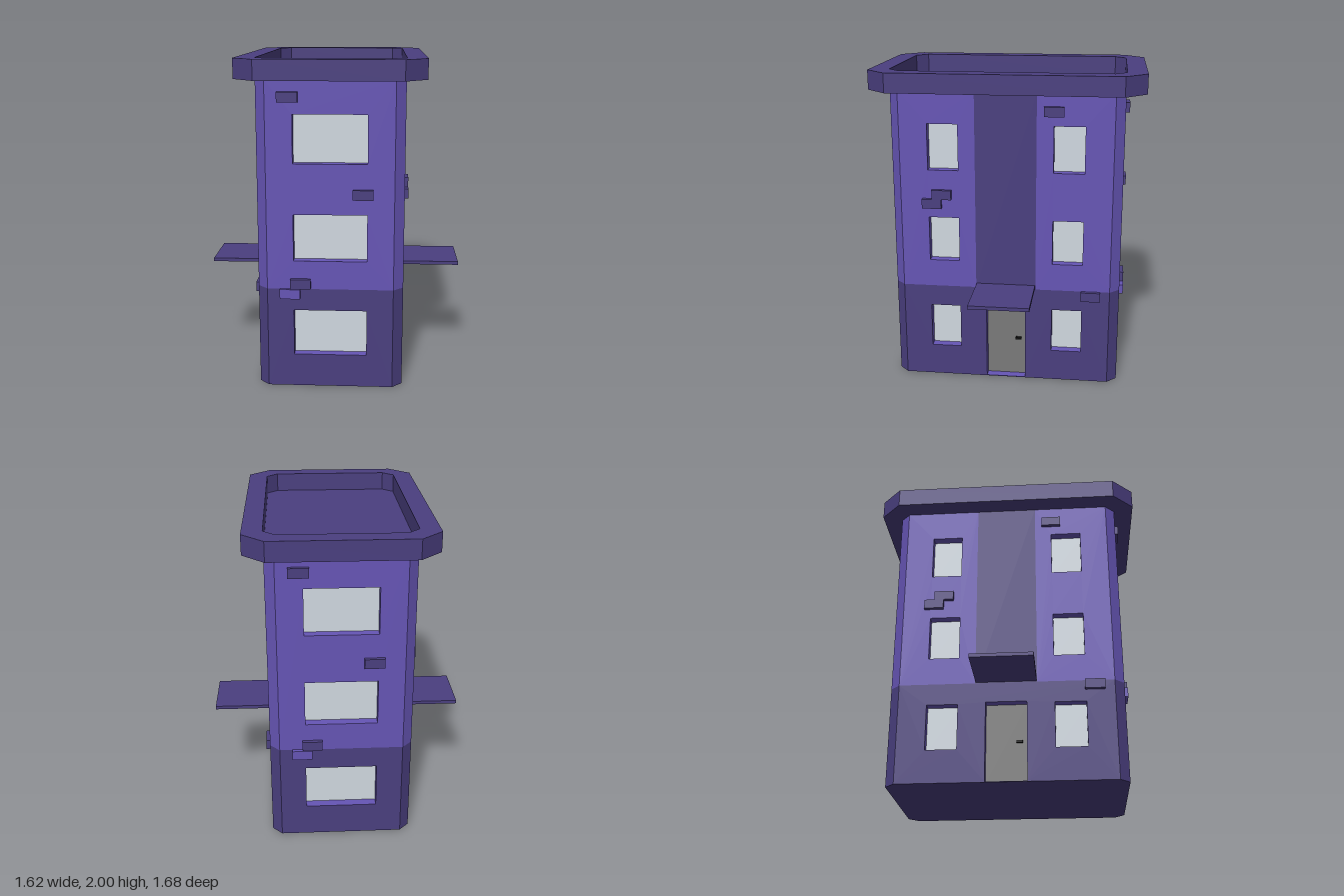
import * as THREE from 'three';

const paint = (color) => new THREE.MeshStandardMaterial({ color });

export function createModel() {
  const light = paint(0x6655b5), dark = paint(0x4a3f7f);
  const glass = paint(0xd0d8e0), doorGrey = paint(0x7a7a7a), black = paint(0x111111);
  const HX = 0.44, HZ = 0.72, CUT = 0.06, BAND = 0.625, EAVE = 1.88, BASE = 0.002, DEEP = 0.06;

  const model = new THREE.Group();
  model.name = 'building';

  const add = (parent, name, geometry, material) => {
    const mesh = new THREE.Mesh(geometry, material);
    mesh.name = name;
    parent.add(mesh);
    return mesh;
  };
  const box = (parent, name, x0, x1, y0, y1, z0, z1, material) =>
    add(parent, name, new THREE.BoxGeometry(x1 - x0, y1 - y0, z1 - z0), material)
      .position.set((x0 + x1) / 2, (y0 + y1) / 2, (z0 + z1) / 2);
  const points = (list) => list.map(([x, y]) => new THREE.Vector2(x, y));
  const rect = (x0, x1, y0, y1) => points([[x0, y0], [x1, y0], [x1, y1], [x0, y1]]);
  const octagon = (x, z, c) => points([
    [x, c - z], [x, z - c], [x - c, z], [c - x, z],
    [-x, z - c], [-x, c - z], [c - x, -z], [x - c, -z]]);

  // Extrudes a plan outline upwards from y0 to y1
  const upright = (name, shape, y0, y1, material) => {
    const g = new THREE.ExtrudeGeometry(shape, { depth: y1 - y0, bevelEnabled: false });
    g.rotateX(-Math.PI / 2).translate(0, y0, 0);
    return add(model, name, g, material);
  };

  // Wall slab with openings; the reveals are always the light colour
  const slab = (parent, name, x0, x1, y0, y1, openings, face, material) => {
    const shape = new THREE.Shape(rect(x0, x1, y0, y1));
    shape.holes = openings.map((o) => new THREE.Path(rect(...o)));
    const g = new THREE.ExtrudeGeometry(shape, { depth: DEEP, bevelEnabled: false });
    g.translate(0, 0, face - DEEP);
    add(parent, name, g, [material, light]);
    return openings;
  };
  const pane = (parent, [x0, x1, y0, y1], face) =>
    box(parent, 'windowPane', x0, x1, y0, y1, face - DEEP - 0.01, face - DEEP + 0.003, glass);
  const brick = (parent, x, y, face, material) =>
    box(parent, 'brick', x - 0.061, x + 0.061, y - 0.03, y + 0.03, face - 0.01, face + 0.025, material);

  const floors = [[0.205, 0.49], [0.8, 1.085], [1.39, 1.68]];

  // Narrow end wall: one wide window per floor
  const endWall = (name, angle) => {
    const wall = new THREE.Group(), w = HX - CUT;
    wall.name = name;
    const windows = floors.map(([a, b]) => [-0.22, 0.22, a, b]);
    slab(wall, 'lowerWall', -w, w, BASE, BAND, windows.slice(0, 1), HZ, dark);
    slab(wall, 'upperWall', -w, w, BAND, EAVE, windows.slice(1), HZ, light);
    windows.forEach((o) => pane(wall, o, HZ));
    [[-0.247, 1.78], [0.195, 1.21], [-0.178, 0.66]].forEach(([x, y]) => brick(wall, x, y, HZ, dark));
    brick(wall, -0.242, 0.597, HZ, light);
    wall.rotation.y = angle;
    model.add(wall);
  };

  // Long side wall: door, canopy, dark centre strip and two window columns
  const sideWall = (name, angle) => {
    const wall = new THREE.Group(), w = HZ - CUT;
    wall.name = name;
    const column = (s) => floors.map(([a, b]) => [s * 0.39 - 0.095, s * 0.39 + 0.095, a, b]);
    const left = column(-1), right = column(1), door = [-0.125, 0.125, 0.004, 0.5];
    slab(wall, 'lowerWall', -w, w, BASE, BAND, [left[0], right[0], door], HX, dark);
    slab(wall, 'upperWall', -w, -0.19, BAND, EAVE, left.slice(1), HX, light);
    slab(wall, 'upperWall', 0.19, w, BAND, EAVE, right.slice(1), HX, light);
    box(wall, 'centreStrip', -0.19, 0.19, BAND, EAVE, HX - DEEP, HX, dark);
    [...left, ...right].forEach((o) => pane(wall, o, HX));
    box(wall, 'door', ...door, HX - DEEP - 0.01, HX - DEEP + 0.003, doorGrey);
    box(wall, 'doorHandle', 0.06, 0.097, 0.253, 0.266, HX - DEEP, HX - DEEP + 0.025, black);
    box(wall, 'canopy', -0.187, 0.187, 0.63, 0.652, HX - 0.01, 0.81, dark);
    [[0.295, 1.77], [-0.4, 1.236], [-0.463, 1.177], [0.54, 0.595]]
      .forEach(([x, y]) => brick(wall, x, y, HX, dark));
    wall.rotation.y = angle;
    model.add(wall);
  };

  endWall('frontWall', 0);
  endWall('backWall', Math.PI);
  sideWall('leftWall', Math.PI / 2);
  sideWall('rightWall', -Math.PI / 2);

  // Chamfered corners
  for (const sx of [-1, 1]) for (const sz of [-1, 1]) {
    const corner = new THREE.Shape(points([
      [sx * HX, sz * (HZ - CUT)], [sx * (HX - CUT), sz * HZ], [sx * (HX - CUT), sz * (HZ - CUT)]]));
    upright('lowerCorner', corner, BASE, BAND, dark);
    upright('upperCorner', corner, BAND, EAVE, light);
  }

  // Base plate, roof deck and overhanging parapet
  upright('basePlate', new THREE.Shape(octagon(HX, HZ, CUT)), 0, BASE, dark);
  upright('roofDeck', new THREE.Shape(octagon(HX, HZ, CUT)), EAVE, EAVE + 0.003, dark);
  const rim = new THREE.Shape(octagon(0.56, 0.842, 0.133));
  rim.holes.push(new THREE.Path(octagon(HX, HZ, 0.07)));
  upright('parapet', rim, EAVE, 2, dark);

  return model;
}
